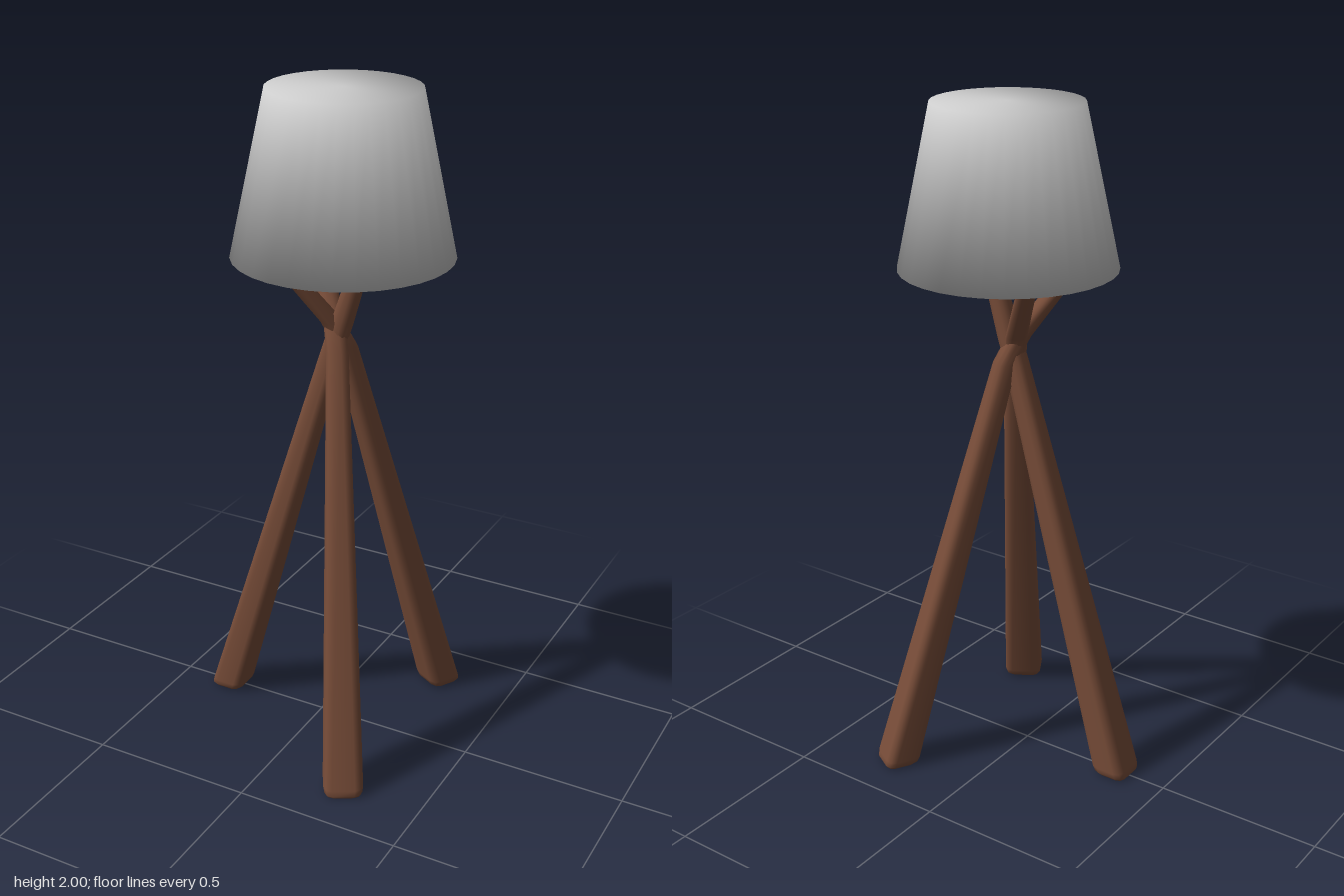
import * as THREE from 'three';

const wood = new THREE.MeshStandardMaterial({ color: 0x774c38 });
const fabric = new THREE.MeshStandardMaterial({ color: 0xcccccc });
const AXIS_X = 0.055; // where the legs cross

// Rounded rectangle of points [u, v], counter-clockwise
function roundedRect(w, d, r) {
  const pts = [];
  [[1, 1], [-1, 1], [-1, -1], [1, -1]].forEach(([sx, sy], corner) => {
    for (let i = 0; i < 3; i++) {
      const a = (corner + i / 2) * Math.PI / 2;
      pts.push([sx * (w / 2 - r) + r * Math.cos(a), sy * (d / 2 - r) + r * Math.sin(a)]);
    }
  });
  return pts;
}

// Leg lofted through horizontal sections { y, x, z, w, d, r }, turned to face its foot direction
function makeLeg(name, angle, sections) {
  const pos = [], idx = [], n = 12;
  const c = Math.cos(angle), s = Math.sin(angle);
  const addRing = ({ y, x, z, w, d, r }) => {
    for (const [u, v] of roundedRect(w, d, r)) {
      pos.push(AXIS_X + x + u * c - v * s, y, z + u * s + v * c);
    }
  };
  sections.forEach(addRing);
  for (let k = 0; k < sections.length - 1; k++) {
    for (let i = 0; i < n; i++) {
      const a = k * n + i, b = k * n + (i + 1) % n;
      idx.push(a, a + n, b, b, a + n, b + n);
    }
  }
  // Flat ends with their own vertices
  const bottom = sections.length * n, top = bottom + n;
  addRing(sections[0]);
  addRing(sections[sections.length - 1]);
  for (let i = 1; i < n - 1; i++) {
    idx.push(bottom, bottom + i, bottom + i + 1);
    idx.push(top, top + i + 1, top + i);
  }
  const geo = new THREE.BufferGeometry();
  geo.setAttribute('position', new THREE.Float32BufferAttribute(pos, 3));
  geo.setIndex(idx);
  geo.computeVertexNormals();
  const mesh = new THREE.Mesh(geo, wood);
  mesh.name = name;
  return mesh;
}

// Tapered leg: foot, crossing point and top end as [x, z] offsets from the crossing axis
function legSections(foot, cross, top) {
  const mix = (a, b, t) => a + (b - a) * t;
  const at = (y, p, q, t, w, d, r) => ({ y, x: mix(p[0], q[0], t), z: mix(p[1], q[1], t), w, d, r });
  return [
    at(0, foot, cross, 0, 0.09, 0.098, 0.02),
    at(0.008, foot, cross, 0.006, 0.104, 0.112, 0.024),
    at(0.025, foot, cross, 0.02, 0.108, 0.118, 0.025),
    at(1.25, foot, cross, 0.96, 0.066, 0.064, 0.022),
    at(1.33, cross, top, 0.13, 0.064, 0.062, 0.022),
    at(1.56, cross, top, 1, 0.053, 0.053, 0.022),
  ];
}

// Closed tapered shade with softened shading over its rims
function makeShade() {
  const n = 32, pos = [], nor = [], idx = [];
  const rings = [[0.318, 1.53, 0.81, -0.585], [0.217, 2, 0.655, 0.755]];
  for (const [r, y, nr, ny] of rings) {
    for (let i = 0; i < n; i++) {
      const a = i / n * Math.PI * 2;
      pos.push(r * Math.cos(a), y, r * Math.sin(a));
      nor.push(nr * Math.cos(a), ny, nr * Math.sin(a));
    }
  }
  pos.push(0, 1.53, 0, 0, 2, 0);
  nor.push(0, -1, 0, 0, 1, 0);
  for (let i = 0; i < n; i++) {
    const j = (i + 1) % n;
    idx.push(i, i + n, j, j, i + n, j + n); // wall
    idx.push(2 * n, i, j, 2 * n + 1, j + n, i + n); // bottom and top
  }
  const geo = new THREE.BufferGeometry();
  geo.setAttribute('position', new THREE.Float32BufferAttribute(pos, 3));
  geo.setAttribute('normal', new THREE.Float32BufferAttribute(nor, 3));
  geo.setIndex(idx);
  const mesh = new THREE.Mesh(geo, fabric);
  mesh.name = 'lampShade';
  mesh.position.x = 0.067;
  return mesh;
}

export function createModel() {
  const model = new THREE.Group();
  model.name = 'tripodLamp';

  // Straight leg on the right, and a mirrored pair bent at the crossing
  model.add(makeLeg('rightLeg', Math.PI, legSections([-0.39, 0], [0, 0], [0.083, 0])));
  for (const side of [1, -1]) {
    model.add(makeLeg(
      side > 0 ? 'frontLeg' : 'backLeg',
      side * Math.PI / 3,
      legSections([0.2, side * 0.34], [0, side * 0.012], [-0.155, -side * 0.132]),
    ));
  }

  model.add(makeShade());
  return model;
}
